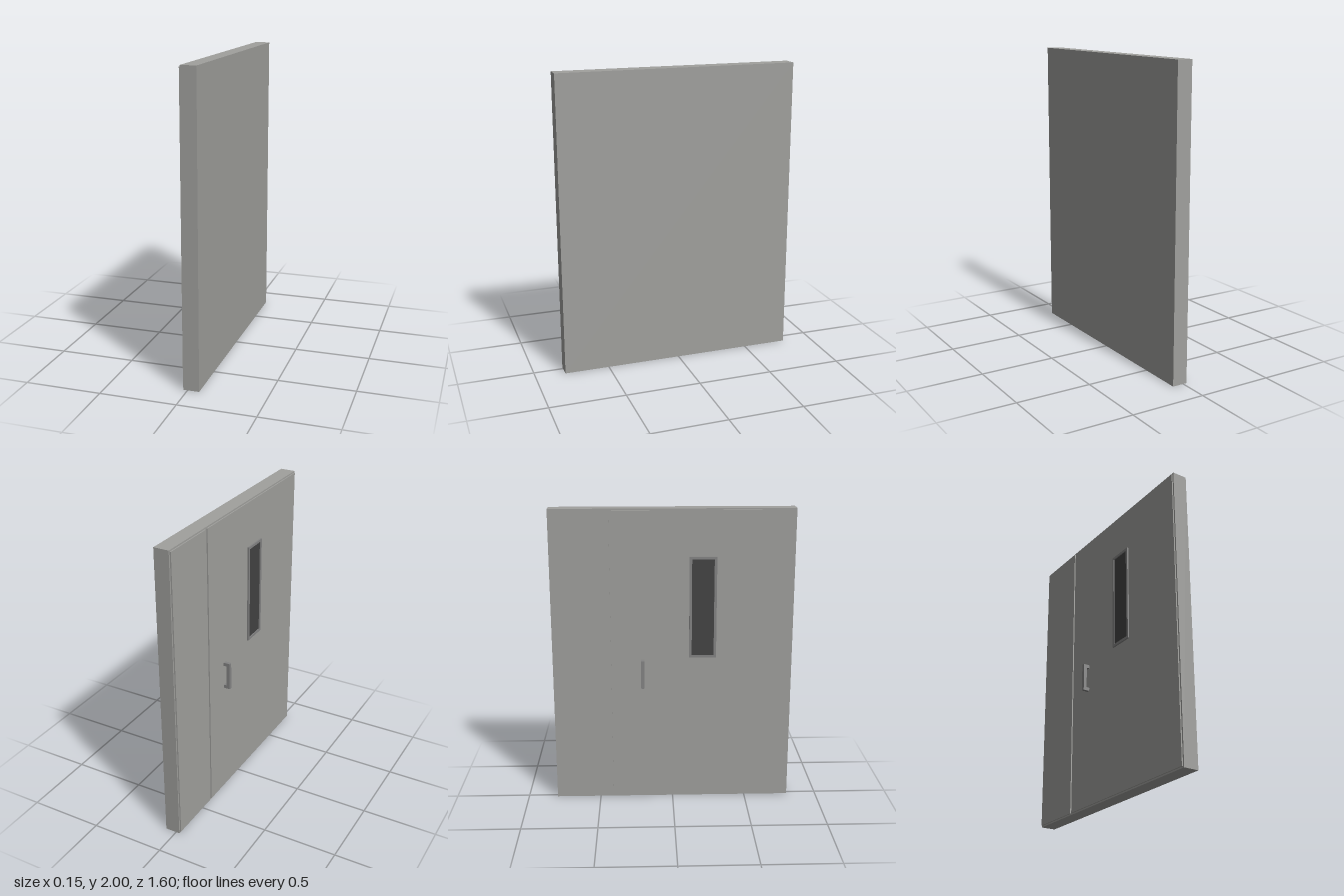
import * as THREE from 'three';

const paint = new THREE.MeshStandardMaterial({ color: 0xa0a09d });
const trim = new THREE.MeshStandardMaterial({ color: 0x848484 });
const dark = new THREE.MeshStandardMaterial({ color: 0x434343 });

// Box given by its extents along each axis
function slab(name, [x0, x1], [y0, y1], [z0, z1], material) {
  const mesh = new THREE.Mesh(new THREE.BoxGeometry(x1 - x0, y1 - y0, z1 - z0), material);
  mesh.position.set((x0 + x1) / 2, (y0 + y1) / 2, (z0 + z1) / 2);
  mesh.name = name;
  return mesh;
}

// Counter-clockwise rectangle in a shape's own plane
function rectangle(target, x0, x1, y0, y1) {
  target.moveTo(x0, y0);
  target.lineTo(x1, y0);
  target.lineTo(x1, y1);
  target.lineTo(x0, y1);
  target.closePath();
  return target;
}

export function createModel() {
  const door = new THREE.Group();
  door.name = 'doubleDoor';

  const face = -0.025;   // outer side of the backing slab
  const leaf = -0.033;   // outer side of the door leaves

  // Backing slab and the two unequal leaves, parted by a narrow gap
  door.add(slab('backingSlab', [face, 0.076], [0, 2], [-0.8, 0.8], paint));
  door.add(slab('narrowLeaf', [leaf, face], [0.01, 1.99], [-0.79, -0.41], paint));
  door.add(slab('wideLeaf', [leaf, face], [0.01, 1.99], [-0.391, 0.79], paint));

  // Raised window frame with a recessed dark pane
  const border = 0.017;
  const [z0, z1, y0, y1] = [0.11, 0.29, 1.01, 1.69];
  const outline = rectangle(new THREE.Shape(), z0, z1, y0, y1);
  outline.holes.push(rectangle(new THREE.Path(), z0 + border, z1 - border, y0 + border, y1 - border));
  const frame = new THREE.Mesh(
    new THREE.ExtrudeGeometry(outline, { depth: 0.01, bevelEnabled: false }), trim);
  frame.rotation.y = -Math.PI / 2;   // shape x runs along +z, depth along -x
  frame.position.x = leaf;
  frame.name = 'windowFrame';
  door.add(frame);
  door.add(slab('windowPane', [leaf - 0.004, leaf],
    [y0 + border, y1 - border], [z0 + border, z1 - border], dark));

  // Square pull handle: upright grip on two short arms
  const handle = new THREE.Group();
  handle.name = 'pullHandle';
  const width = [-0.211, -0.189];
  const bar = 0.023;
  const [bottom, top] = [0.806, 0.996];
  const gripInner = -0.077 + bar;
  handle.add(slab('grip', [-0.077, gripInner], [bottom, top], width, trim));
  for (const [name, y] of [['lowerArm', bottom], ['upperArm', top - bar]]) {
    handle.add(slab(name, [gripInner, leaf], [y, y + bar], width, trim));
  }
  door.add(handle);

  return door;
}
